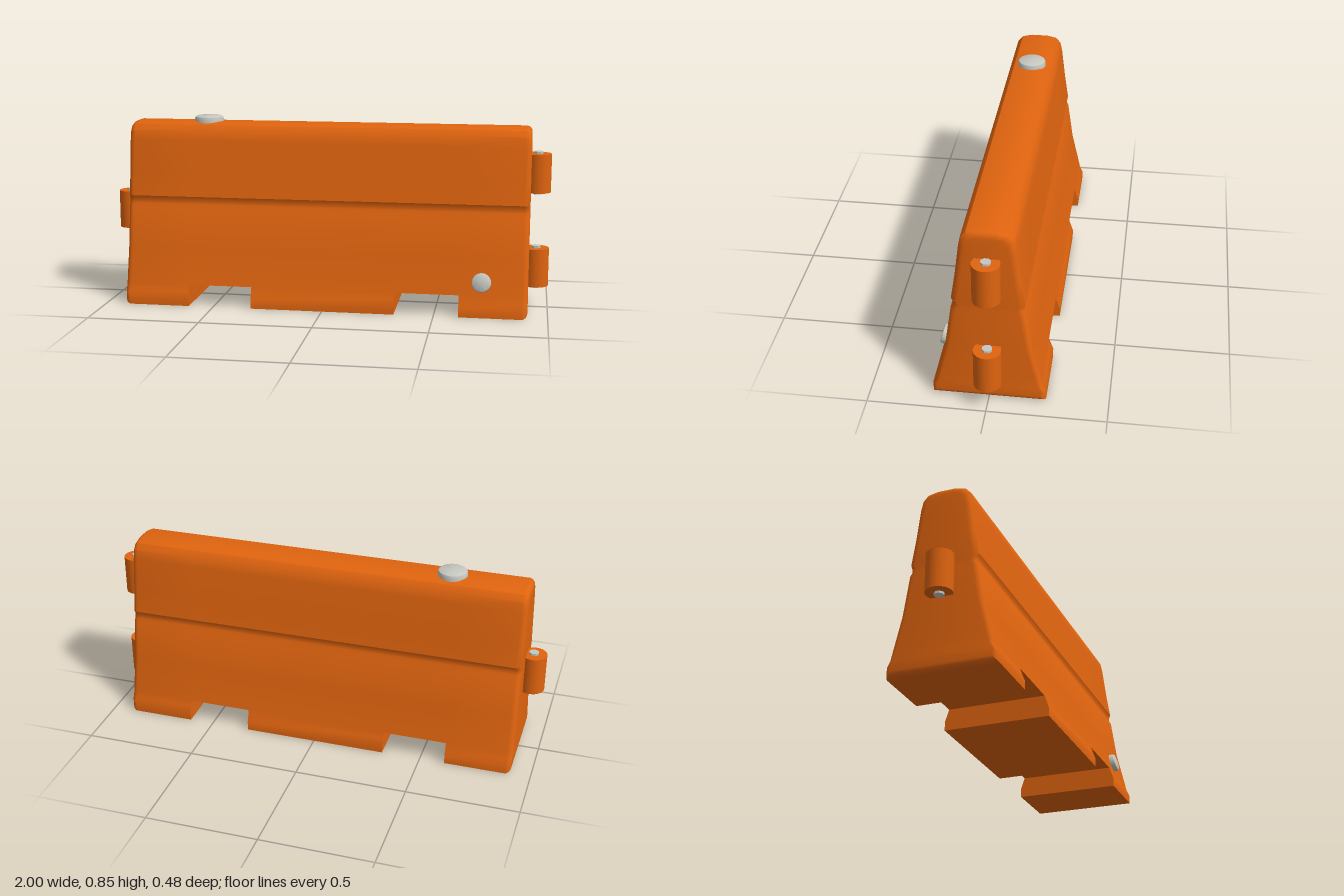
import * as THREE from 'three';
import { toCreasedNormals } from 'three/addons/utils/BufferGeometryUtils.js';

const orange = new THREE.MeshStandardMaterial({ name: 'orangePlastic', color: 0xe0640f });
const grey = new THREE.MeshStandardMaterial({ name: 'greyFitting', color: 0xc6c7c0 });

const HALF = 0.912, TOP = 0.823, BEVEL = 0.026, SLOT = 0.095, SLOT_Z = 0.219;

// Half profile as [z, y], from the foot to the crown
const half = [
  [0.238, 0], [0.238, 0.04], [0.225, 0.068], [SLOT_Z, SLOT], [0.18, 0.26], [0.154, 0.438],
  [0.145, 0.455], [0.144, 0.474], [0.151, 0.49], [0.134, 0.6], [0.116, 0.745], [0.107, 0.788],
  [0.085, 0.813], [0.04, TOP],
];
const profile = [...half, ...half.map(([z, y]) => [-z, y]).reverse()];

// One cross-section at x, shrunk by inset or cut off at the fork slot height
function section(x, inset, cut) {
  return profile.map(([z, y]) => {
    if (cut && y < SLOT) return new THREE.Vector3(x, SLOT, Math.sign(z) * SLOT_Z);
    const shrink = inset * Math.min(1, Math.abs(z) / 0.1);
    return new THREE.Vector3(x, inset + y * (1 - 2 * inset / TOP), z - Math.sign(z) * shrink);
  });
}

function bodyGeometry() {
  // Rounded ends
  const end = [];
  for (let i = 0; i <= 4; i++) {
    const a = (i / 4) * Math.PI / 2;
    end.push([HALF - BEVEL * (1 - Math.cos(a)), BEVEL * (1 - Math.sin(a))]);
  }
  const rings = end.map(([x, d]) => section(-x, d, false));
  // Two fork slots
  for (const [a, b] of [[-0.613, -0.325], [0.323, 0.61]]) {
    rings.push(section(a, 0, false), section(a, 0, true), section(b, 0, true), section(b, 0, false));
  }
  rings.push(...end.reverse().map(([x, d]) => section(x, d, false)));

  const pos = [];
  const tri = (a, b, c) => {
    const area = b.clone().sub(a).cross(c.clone().sub(a)).length();
    if (area > 1e-8) for (const p of [a, b, c]) pos.push(p.x, p.y, p.z);
  };
  const n = profile.length;
  for (let r = 0; r < rings.length - 1; r++) {
    for (let i = 0; i < n; i++) {
      const j = (i + 1) % n, A = rings[r], B = rings[r + 1];
      tri(A[i], B[i], B[j]);
      tri(A[i], B[j], A[j]);
    }
  }
  // End faces, in strips between the two sides
  const first = rings[0], last = rings[rings.length - 1];
  for (let i = 0; i < half.length - 1; i++) {
    const j = n - 1 - i;
    tri(first[i], first[i + 1], first[j - 1]);
    tri(first[i], first[j - 1], first[j]);
    tri(last[i], last[j - 1], last[i + 1]);
    tri(last[i], last[j], last[j - 1]);
  }
  const g = new THREE.BufferGeometry();
  g.setAttribute('position', new THREE.Float32BufferAttribute(pos, 3));
  return toCreasedNormals(g, 0.55);
}

function add(parent, name, geometry, material, x, y, z) {
  const m = new THREE.Mesh(geometry, material);
  m.name = name;
  m.position.set(x, y, z);
  parent.add(m);
  return m;
}

// Round plug with a softened rim, standing on y = 0
function capGeometry(r, h, sides) {
  const pts = [[0, 0], [r, 0], [r, h * 0.6], [r * 0.95, h * 0.88], [r * 0.84, h], [0, h]];
  return toCreasedNormals(new THREE.LatheGeometry(pts.map(([x, y]) => new THREE.Vector2(x, y)), sides), 0.65);
}

export function createModel() {
  const model = new THREE.Group();
  model.name = 'roadBarrier';
  add(model, 'body', bodyGeometry(), orange, 0, 0, 0);

  // Hinge knuckles with pins: two on one end, one on the other
  for (const [side, y] of [[1, 0.617], [1, 0.189], [-1, 0.403]]) {
    const hinge = new THREE.Group();
    hinge.name = 'hinge';
    hinge.position.set(side * 0.942, y, 0);
    add(hinge, 'knuckle', new THREE.CylinderGeometry(0.058, 0.058, 0.173, 28), orange, 0, 0, 0);
    const pin = new THREE.CylinderGeometry(0.022, 0.022, 0.193, 8);
    pin.rotateY(Math.PI / 8);
    add(hinge, 'pin', toCreasedNormals(pin, 0.5), grey, 0, 0, 0);
    model.add(hinge);
  }

  // Filler cap on the crown and drain plug on the front slope
  add(model, 'fillerCap', capGeometry(0.066, 0.035, 28), grey, -0.562, 0.812, 0);
  const drain = add(model, 'drainPlug', capGeometry(0.043, 0.026, 20), grey, 0.708, 0.152, 0.203);
  drain.rotation.x = Math.PI / 2 - 0.24;
  return model;
}
